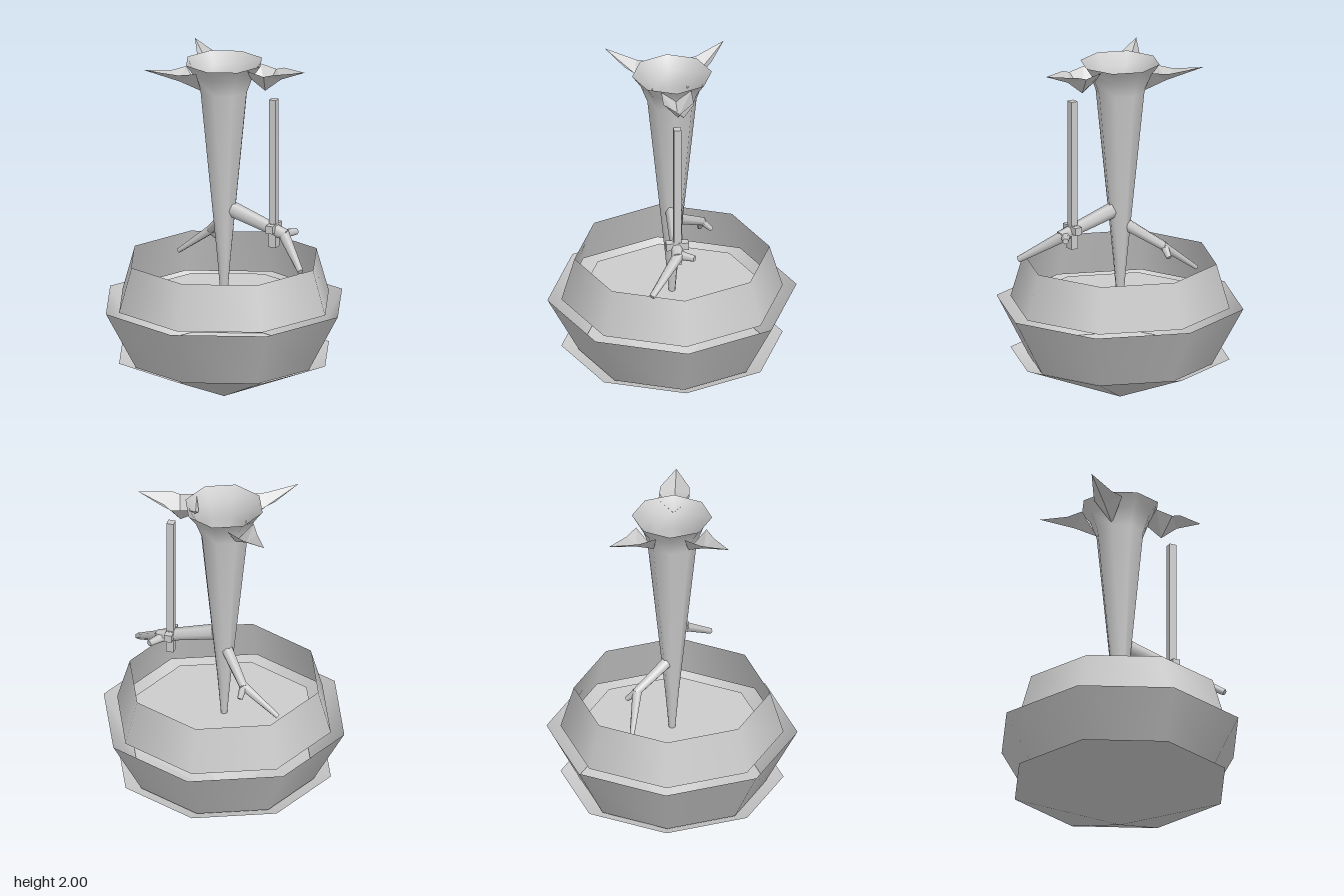
import * as THREE from 'three';

const SIDES = 8;
const smooth = new THREE.MeshStandardMaterial({ color: 0xcccccc, side: THREE.DoubleSide });
const flat = new THREE.MeshStandardMaterial({ color: 0xcccccc, side: THREE.DoubleSide, flatShading: true });

function add(parent, name, geometry, material = smooth) {
  const mesh = new THREE.Mesh(geometry, material);
  mesh.name = name;
  parent.add(mesh);
  return mesh;
}

// Open octagonal shell from [radius, y] pairs
function shell(profile) {
  return new THREE.LatheGeometry(profile.map(([r, y]) => new THREE.Vector2(r, y)), SIDES);
}

// Tapered limb between two points
function limb(parent, name, from, to, r0, r1) {
  const a = new THREE.Vector3(...from), b = new THREE.Vector3(...to);
  const dir = b.clone().sub(a);
  const mesh = add(parent, name, new THREE.CylinderGeometry(r1, r0, dir.length(), 6));
  mesh.position.copy(a).add(b).multiplyScalar(0.5);
  mesh.quaternion.setFromUnitVectors(new THREE.Vector3(0, 1, 0), dir.normalize());
}

// Folded leaf pointing along +x: two mirrored halves meeting at a keel
function leaf(keel, edge) {
  const pos = [], index = [];
  for (const side of [1, -1]) {
    const start = pos.length / 3;
    keel.forEach(([x, y], i) => {
      pos.push(x, y, 0, edge[i][0], edge[i][1], side * edge[i][2]);
      if (i === 0) return;
      const k = start + i * 2;
      const quad = [k - 2, k, k - 1, k, k + 1, k - 1];
      index.push(...(side > 0 ? quad : quad.reverse()));
    });
  }
  const g = new THREE.BufferGeometry();
  g.setAttribute('position', new THREE.Float32BufferAttribute(pos, 3));
  g.setIndex(index);
  g.computeVertexNormals();
  return g;
}

export function createModel() {
  const model = new THREE.Group();
  model.name = 'pottedPlant';

  // Pot: pointed saucer, flared body, narrowing collar, soil
  const pot = new THREE.Group();
  pot.name = 'pot';
  model.add(pot);
  add(pot, 'saucer', shell([[0.001, 0], [0.638, 0.26]]));
  add(pot, 'potBody', shell([[0.535, 0.225], [0.718, 0.565]]));
  add(pot, 'potCollar', shell([[0.638, 0.565], [0.562, 0.825]]));
  const soil = add(pot, 'soil', new THREE.CircleGeometry(0.536, SIDES));
  soil.rotation.x = -Math.PI / 2;
  soil.position.y = 0.58;

  // Hollow stem flaring into a funnel
  add(model, 'stem', shell([[0.012, 0.5], [0.04, 0.825], [0.142, 1.83], [0.18, 1.93], [0.23, 2]]));

  // Leaves around the funnel
  add(model, 'broadLeaf', leaf(
    [[0.15, 1.93], [0.26, 1.86], [0.36, 1.94], [0.51, 2]],
    [[0.19, 1.99, 0.087], [0.29, 1.97, 0.087], [0.34, 1.985, 0.083], [0.51, 2, 0]]), flat);
  for (const side of [1, -1]) {
    const narrow = add(model, 'narrowLeaf', leaf(
      [[0.14, 1.84], [0.27, 1.91], [0.485, 2]],
      [[0.2, 1.97, 0.085], [0.3, 1.965, 0.055], [0.485, 2, 0]]), flat);
    narrow.rotation.y = side * Math.PI * 0.75;
  }

  // Left arm with bent forearm and thumb stub
  const leftArm = new THREE.Group();
  leftArm.name = 'leftArm';
  model.add(leftArm);
  limb(leftArm, 'upperArm', [0.055, 1.125, 0], [0.4, 1.02, 0.02], 0.045, 0.033);
  limb(leftArm, 'forearm', [0.38, 1.025, 0.01], [0.572, 0.87, 0.19], 0.034, 0.018);
  limb(leftArm, 'thumb', [0.37, 1.02, 0.01], [0.425, 1.02, -0.075], 0.028, 0.018);

  // Right arm forking behind the stem
  const rightArm = new THREE.Group();
  rightArm.name = 'rightArm';
  model.add(rightArm);
  limb(rightArm, 'upperArm', [-0.03, 1.03, -0.03], [-0.18, 0.915, -0.2], 0.036, 0.026);
  limb(rightArm, 'forearm', [-0.165, 0.925, -0.19], [-0.385, 0.76, -0.21], 0.028, 0.014);
  limb(rightArm, 'thumb', [-0.175, 0.92, -0.19], [-0.17, 0.865, -0.25], 0.024, 0.015);

  // Upright blade held by the left arm
  const sword = new THREE.Group();
  sword.name = 'sword';
  sword.position.set(0.32, 0, 0.012);
  model.add(sword);
  add(sword, 'blade', new THREE.BoxGeometry(0.042, 0.76, 0.042), flat).position.y = 1.44;
  add(sword, 'grip', new THREE.BoxGeometry(0.045, 0.14, 0.05), flat).position.y = 1.01;
  add(sword, 'guard', new THREE.BoxGeometry(0.045, 0.045, 0.13), flat).position.y = 1.055;

  return model;
}
